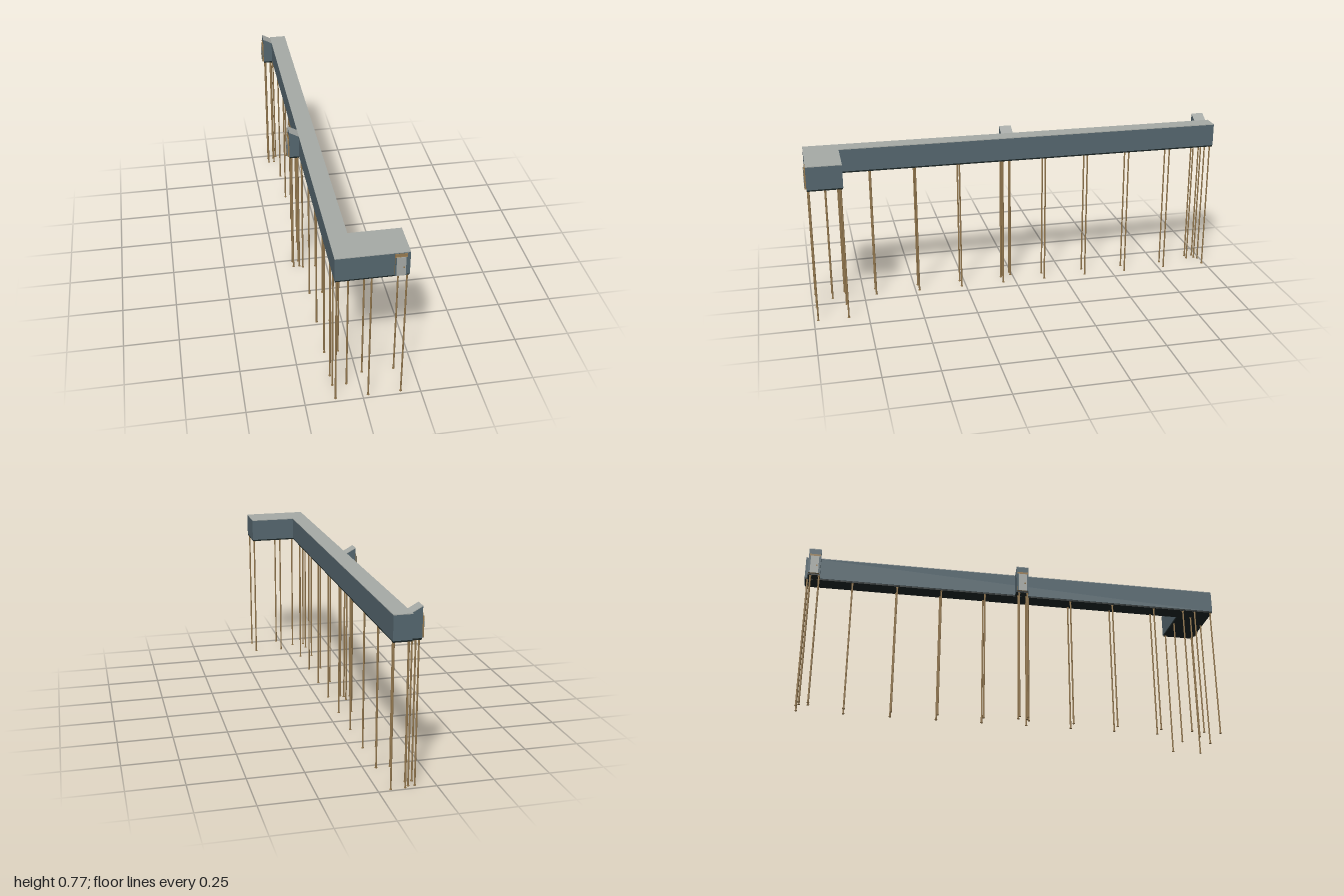
import * as THREE from 'three';

const mat = (name, color) => {
  const m = new THREE.MeshStandardMaterial({ color });
  m.name = name;
  return m;
};

export function createModel() {
  const slate = mat('slate wall', 0x55676f);
  const grey = mat('grey roof', 0xa6aaa6);
  const wood = mat('wood', 0x967a50);
  const dark = mat('dark floor', 0x1b2525);
  const root = new THREE.Group();

  const add = (parent, name, geo, material, x = 0, y = 0, z = 0) => {
    const m = new THREE.Mesh(geo, material);
    m.name = name;
    m.position.set(x, y, z);
    parent.add(m);
    return m;
  };
  const box = (parent, name, material, w, h, d, x, y, z) =>
    add(parent, name, new THREE.BoxGeometry(w, h, d), material, x, y, z);
  const extrude = (pts, depth) => new THREE.ExtrudeGeometry(
    new THREE.Shape(pts.map(p => new THREE.Vector2(...p))), { depth, bevelEnabled: false });

  // L-shaped gallery: long corridor with a wing at the front
  const slab = (name, material, y0, y1, inset) => {
    const i = inset, L = -0.127 + i, R = -0.047 - i;
    const plan = [[L, -0.99 + i], [0.175 - i, -0.99 + i], [0.175 - i, -0.83 - i],
      [R, -0.83 - i], [R, 1 - i], [L, 1 - i]]; // (x, -z)
    add(root, name, extrude(plan, y1 - y0).rotateX(-Math.PI / 2), material, 0, y0, 0);
  };
  slab('floor', dark, 0.634, 0.641, 0.002);
  slab('walls', slate, 0.641, 0.746, 0);
  slab('roof', grey, 0.746, 0.749, 0);

  // Door facing +z, its origin at the bottom centre on the wall
  const door = (name, x, z, turn) => {
    const g = new THREE.Group();
    g.name = name;
    box(g, 'doorFrame', wood, 0.05, 0.089, 0.008, 0, 0.0445, 0.003);
    box(g, 'doorHeader', wood, 0.05, 0.013, 0.003, 0, 0.0955, 0.001);
    box(g, 'doorLeaf', grey, 0.038, 0.089, 0.002, 0, 0.0445, 0.0072);
    for (const s of [-1, 1])
      box(g, 'doorJamb', slate, 0.006, 0.089, 0.001, s * 0.022, 0.0445, 0.0073);
    box(g, 'doorKnob', wood, 0.006, 0.007, 0.001, 0.011, 0.04, 0.0085);
    g.position.set(x, 0.641, z);
    g.rotation.y = turn;
    root.add(g);
  };
  door('frontDoor', 0.137, 0.99, 0);

  // Porches with a roof rising away from the corridor
  const out = -0.171, wall = -0.127, porchDepth = 0.057;
  for (const z0 of [-0.987, -0.003]) {
    const porch = new THREE.Group();
    porch.name = 'sidePorch';
    porch.position.z = z0;
    root.add(porch);
    add(porch, 'porchFloor', extrude([[out + 0.002, 0.634], [wall, 0.634],
      [wall, 0.641], [out + 0.002, 0.641]], porchDepth), dark);
    add(porch, 'porchWalls', extrude([[out, 0.641], [wall, 0.641],
      [wall, 0.746], [out, 0.77]], porchDepth), slate);
    add(porch, 'porchRoof', extrude([[out, 0.77], [wall, 0.746],
      [wall, 0.749], [out, 0.773]], porchDepth), grey);
    door('porchDoor', out, z0 + porchDepth / 2, -Math.PI / 2);
  }

  // Stilts with a foot plate and a cap
  const shaft = new THREE.CylinderGeometry(0.0038, 0.0038, 0.634, 8);
  const plate = new THREE.CylinderGeometry(0.006, 0.006, 0.003, 8);
  const stilt = (x, z) => {
    const g = new THREE.Group();
    g.name = 'stilt';
    add(g, 'shaft', shaft, wood, 0, 0.317, 0);
    add(g, 'foot', plate, wood, 0, 0.0015, 0);
    add(g, 'cap', plate, wood, 0, 0.6325, 0);
    g.position.set(x, 0, z);
    root.add(g);
  };
  for (let i = 0; i < 10; i++)
    for (const x of [-0.117, -0.055]) stilt(x, 0.901 - i * 0.2098);
  for (const x of [-0.117, 0.024, 0.166])
    for (const z of [0.981, 0.841]) stilt(x, z);
  for (const x of [-0.162, -0.133])
    for (const z of [0.05, 0.01, -0.934, -0.974]) stilt(x, z);

  return root;
}
